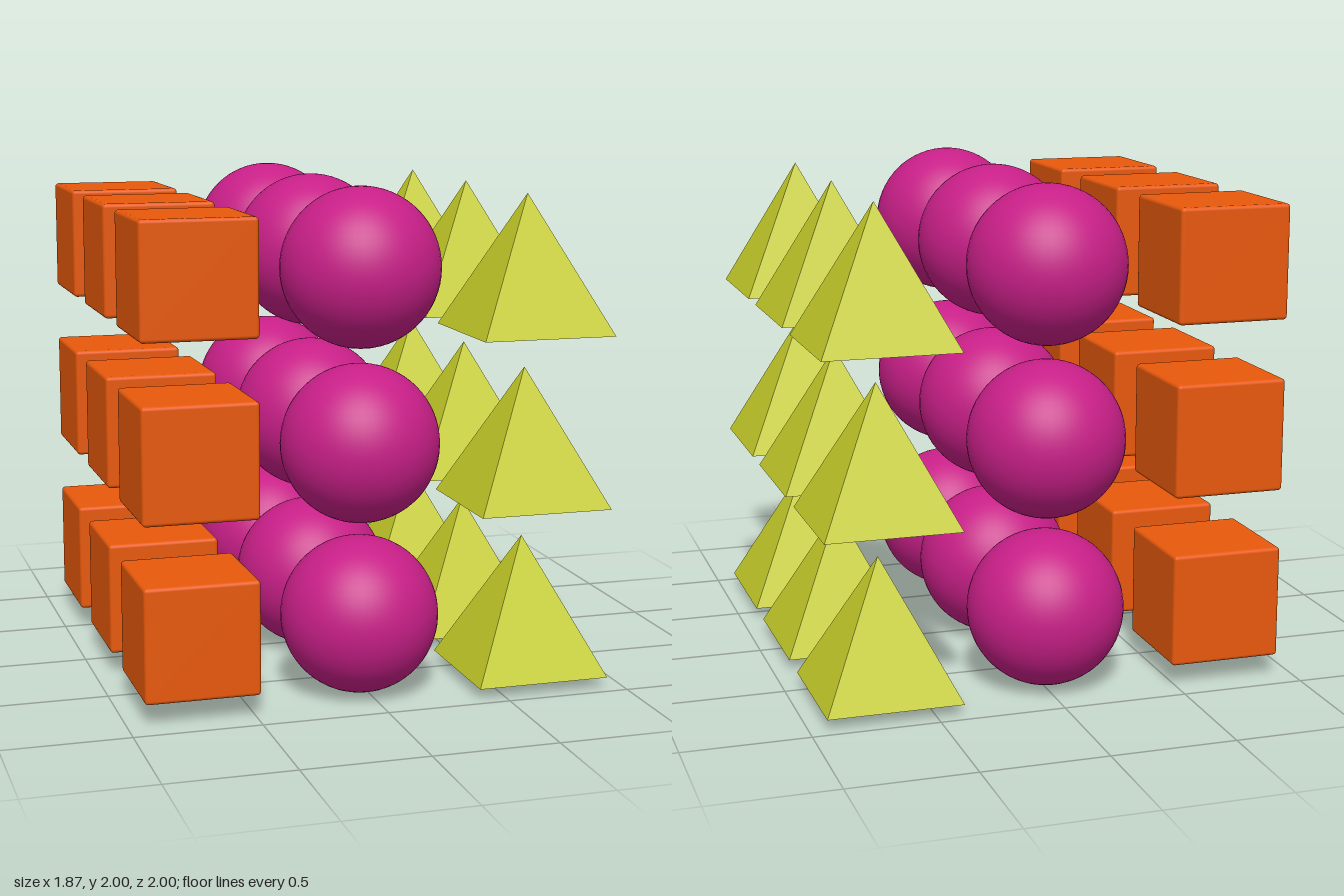
import * as THREE from 'three';
import { RoundedBoxGeometry } from 'three/addons/geometries/RoundedBoxGeometry.js';

const PITCH = 0.6875;

// Fills one upright 3 x 3 layer of identical solids at the given x
function layer(name, geometry, material, x) {
  const group = new THREE.Group();
  group.name = name + 'Layer';
  for (let row = -1; row <= 1; row++) {
    for (let col = -1; col <= 1; col++) {
      const mesh = new THREE.Mesh(geometry, material);
      mesh.name = name;
      mesh.position.set(x, 1 + row * PITCH, col * PITCH);
      group.add(mesh);
    }
  }
  return group;
}

export function createModel() {
  const model = new THREE.Group();
  model.name = 'solidsGrid';

  // Cubes with slightly softened edges
  const cube = new RoundedBoxGeometry(0.453, 0.453, 0.453, 3, 0.015);
  const orange = new THREE.MeshStandardMaterial({ color: 0xe8590c });

  // Smooth spheres
  const sphere = new THREE.SphereGeometry(0.3125, 48, 32);
  const magenta = new THREE.MeshStandardMaterial({ color: 0xc71f87 });

  // Square pyramids, sides aligned with the axes
  const pyramid = new THREE.ConeGeometry(0.27 * Math.SQRT2, 0.54, 4).rotateY(Math.PI / 4);
  const yellow = new THREE.MeshStandardMaterial({ color: 0xc5cc28, flatShading: true });

  model.add(
    layer('cube', cube, orange, -0.708),
    layer('sphere', sphere, magenta, -0.022),
    layer('pyramid', pyramid, yellow, 0.662)
  );
  return model;
}
